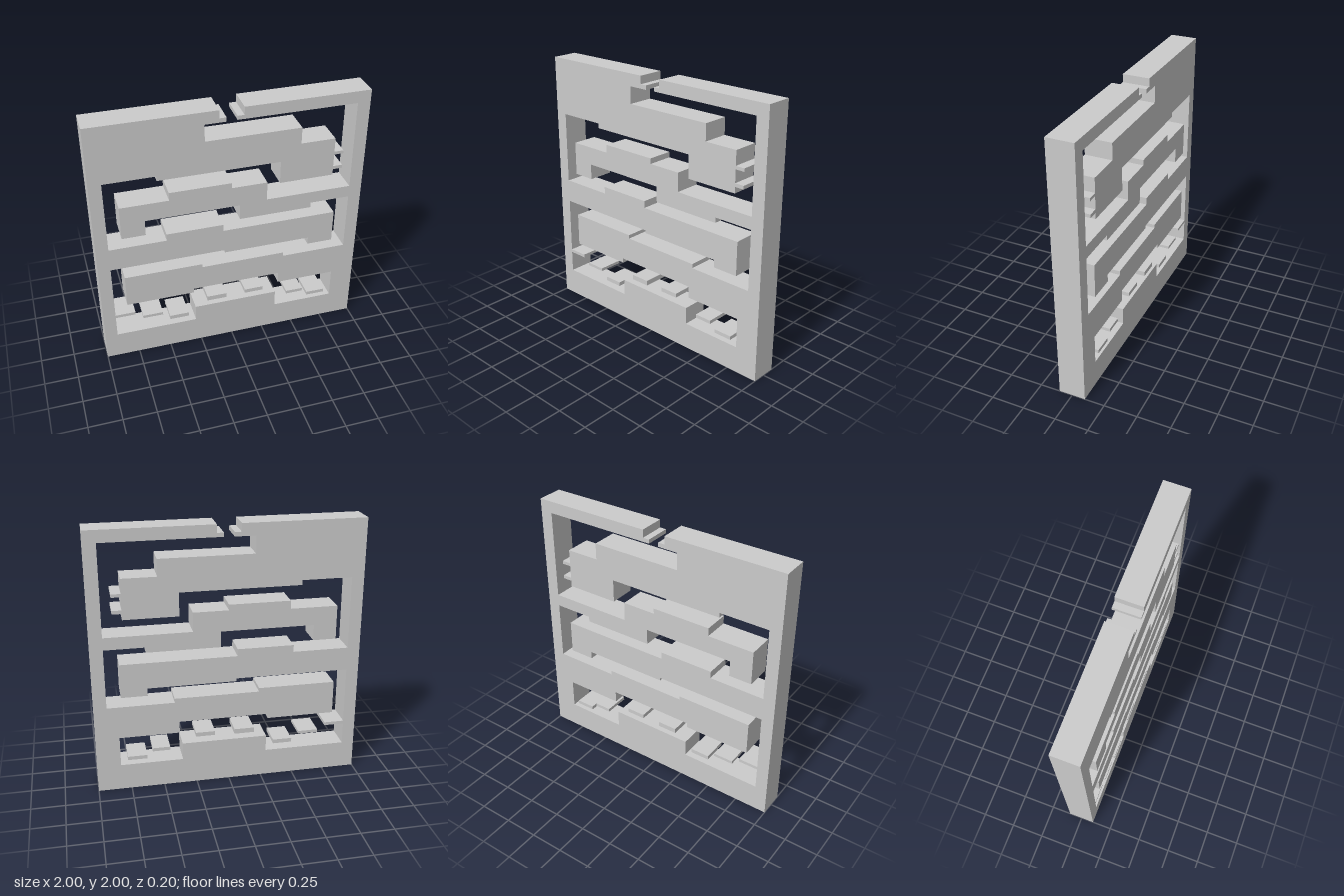
import * as THREE from 'three';

const DEPTH = 0.2;

// Every corner is square, so each value moves along one axis only: x, y, x, y ...
function steppedShape(x, y, moves) {
  const shape = new THREE.Shape().moveTo(x, y);
  moves.forEach((value, i) => {
    if (i % 2 === 0) x = value;
    else y = value;
    shape.lineTo(x, y);
  });
  return shape;
}

export function createModel() {
  const group = new THREE.Group();
  const material = new THREE.MeshStandardMaterial({ color: 0xcccccc, flatShading: true });

  // Maze walls: one outline running round the outside and back along the winding channel
  const outline = [
    // outer frame, up the right side to the stepped entrance lip
    1, 2, 0.085, 1.94, 0.036, 1.91,
    // down the right channel, over and under the upper right shelf
    0.905, 1.23, 0.262, 1.375, 0, 1.417, -0.455, 1.355, -0.808, 1.097,
    -0.635, 1.217, 0.06, 1.097, 0.605, 1.137,
    // over and under the lower right shelf
    0.905, 0.683, 0.407, 0.715, -0.23, 0.743, -0.812, 0.486,
    -0.3, 0.522, 0.375, 0.432,
    // floor of the bottom chamber
    0.824, 0.203, 0.355, 0.336, -0.29, 0.21,
    // under and over the lower left shelf
    -0.908, 0.838, -0.055, 0.816, 0.603, 0.758, 0.798, 1.016,
    -0.065, 1.07, -0.487, 1.016,
    // under and over the upper left block
    -0.908, 1.566, -0.535, 1.53, 0.357, 1.354, 0.76, 1.654,
    0.504, 1.78, -0.192, 1.908,
    // left entrance lip and the outer left side
    -0.04, 1.94, -0.09, 2, -1,
  ];
  const wallGeometry = new THREE.ExtrudeGeometry(steppedShape(-1, 0, outline), {
    depth: DEPTH,
    bevelEnabled: false,
  });
  wallGeometry.translate(0, 0, -DEPTH / 2);
  const walls = new THREE.Mesh(wallGeometry, material);
  walls.name = 'mazeWalls';
  group.add(walls);

  function addBars(name, bars) {
    const set = new THREE.Group();
    set.name = name + 's';
    for (const [x0, x1, y0, y1] of bars) {
      const bar = new THREE.Mesh(new THREE.BoxGeometry(x1 - x0, y1 - y0, DEPTH), material);
      bar.position.set((x0 + x1) / 2, (y0 + y1) / 2, 0);
      bar.name = name;
      set.add(bar);
    }
    group.add(set);
  }

  // Floating platforms in the bottom chamber
  addBars('platform', [
    [-0.908, -0.757, 0.378, 0.402],
    [-0.7, -0.547, 0.325, 0.348],
    [-0.493, -0.347, 0.262, 0.294],
    [-0.194, -0.043, 0.378, 0.416],
    [0.106, 0.252, 0.384, 0.416],
    [0.45, 0.583, 0.294, 0.32],
    [0.625, 0.77, 0.24, 0.268],
  ]);

  // Small ledges on the right end of the upper block
  addBars('ledge', [
    [0.76, 0.83, 1.522, 1.546],
    [0.76, 0.83, 1.4, 1.426],
  ]);

  return group;
}
